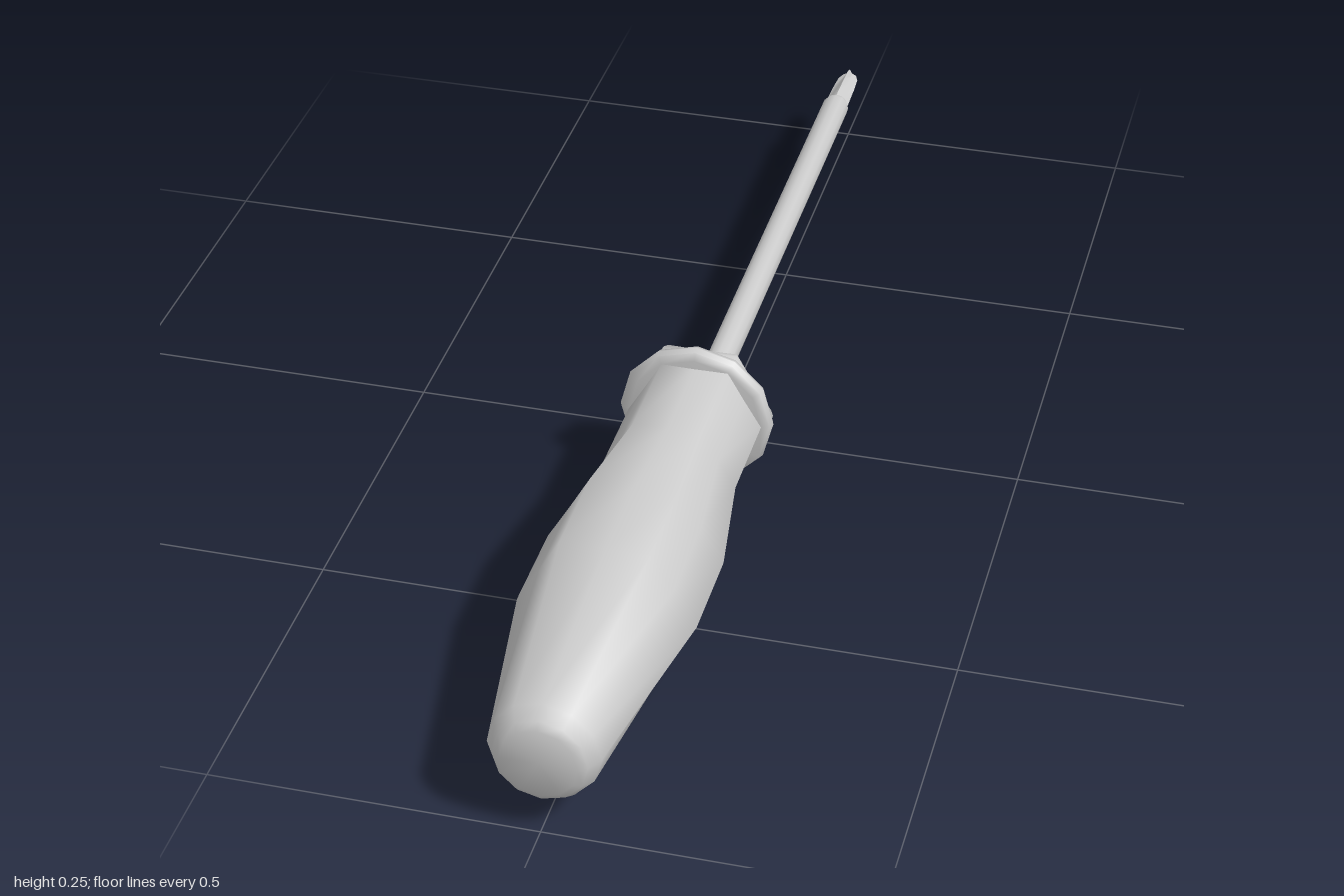
import * as THREE from 'three';
import { toCreasedNormals } from 'three/addons/utils/BufferGeometryUtils.js';

const AXIS_Y = 0.125;
const material = new THREE.MeshStandardMaterial({ color: 0xcccccc });

// Closed loft along z, front to back. Each ring is [z, corner radius, radius between corners].
function loft(name, sides, rings, crease) {
  const pos = [], index = [];
  for (const [z, corner, flat] of rings) {
    for (let j = 0; j < sides; j++) {
      const a = (j / sides) * Math.PI * 2, r = j % 2 ? flat : corner;
      pos.push(Math.cos(a) * r, Math.sin(a) * r, z);
    }
  }
  const last = rings.length - 1, front = rings.length * sides, back = front + 1;
  pos.push(0, 0, rings[0][0], 0, 0, rings[last][0]);
  for (let j = 0; j < sides; j++) {
    const k = (j + 1) % sides;
    for (let i = 0; i < last; i++) {
      const a = i * sides + j, b = i * sides + k;
      index.push(a, a + sides, b, b, a + sides, b + sides);
    }
    index.push(front, j, k, back, last * sides + k, last * sides + j);
  }
  const geometry = new THREE.BufferGeometry();
  geometry.setAttribute('position', new THREE.Float32BufferAttribute(pos, 3));
  geometry.setIndex(index);
  const mesh = new THREE.Mesh(toCreasedNormals(geometry, crease), material);
  mesh.name = name;
  mesh.position.y = AXIS_Y;
  return mesh;
}

export function createModel() {
  const group = new THREE.Group();
  group.name = 'screwdriver';

  // Grip: round butt blending into a hexagonal belly and neck
  group.add(loft('handle', 12, [
    [1.0, 0.058, 0.058],
    [0.992, 0.07, 0.07],
    [0.97, 0.084, 0.083],
    [0.65, 0.137, 0.118],
    [0.49, 0.137, 0.118],
    [0.3, 0.108, 0.093],
    [0.12, 0.108, 0.093],
  ], 1.15));

  // Thin round flange at the end of the grip
  group.add(loft('flange', 12, [
    [0.134, 0.108, 0.108],
    [0.13, 0.121, 0.121],
    [0.121, 0.125, 0.125],
    [0.112, 0.122, 0.122],
    [0.107, 0.108, 0.108],
  ], 1.0));

  // Hexagonal shoulder behind the flange
  group.add(loft('shoulder', 12, [
    [0.115, 0.119, 0.102],
    [0.098, 0.119, 0.102],
    [0.083, 0.112, 0.096],
    [0.072, 0.098, 0.084],
    [0.065, 0.078, 0.07],
  ], 1.15));

  // Steel shaft with a small chamfer
  group.add(loft('shaft', 12, [
    [0.1, 0.0235, 0.0235],
    [-0.88, 0.0235, 0.0235],
    [-0.89, 0.02, 0.02],
  ], 0.7));

  // Cross-shaped tip: grooves deepen towards the point
  group.add(loft('tip', 8, [
    [-0.87, 0.021, 0.018],
    [-0.9, 0.0205, 0.016],
    [-0.95, 0.0195, 0.011],
    [-0.985, 0.0175, 0.008],
    [-1.0, 0.012, 0.006],
  ], 0.6));

  return group;
}
